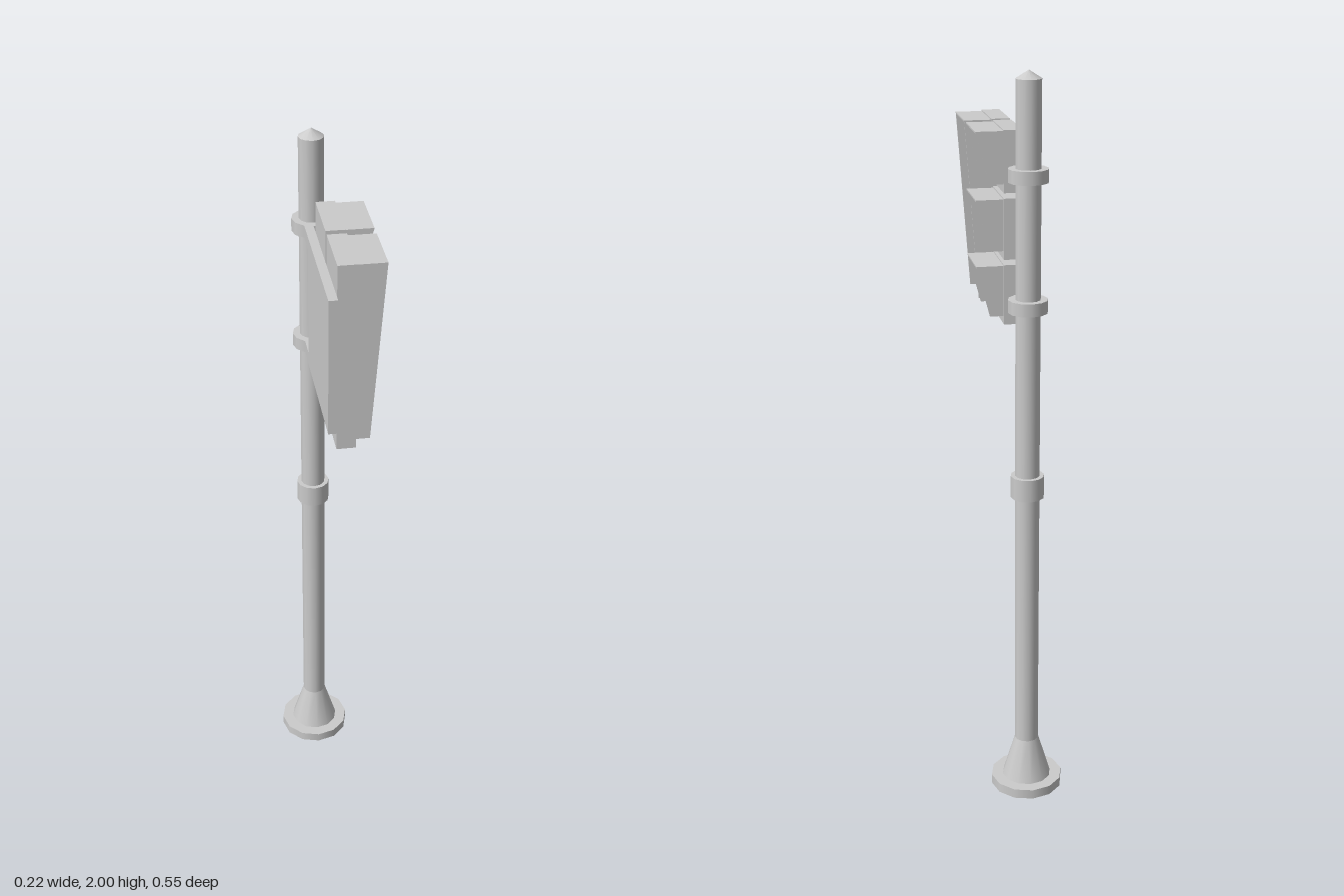
import * as THREE from 'three';

const SIDES = 12;
const POLE_X = -0.01, POLE_Z = -0.175;
const material = new THREE.MeshStandardMaterial({ color: 0xcccccc });
const openMaterial = new THREE.MeshStandardMaterial({ color: 0xcccccc, side: THREE.DoubleSide });

function addMesh(parent, name, geometry, mat = material) {
  const mesh = new THREE.Mesh(geometry, mat);
  mesh.name = name;
  parent.add(mesh);
  return mesh;
}

// Box given by its lower and upper limits on each axis
function box(parent, name, [x0, x1], [y0, y1], [z0, z1]) {
  const mesh = addMesh(parent, name, new THREE.BoxGeometry(x1 - x0, y1 - y0, z1 - z0));
  mesh.position.set((x0 + x1) / 2, (y0 + y1) / 2, (z0 + z1) / 2);
  return mesh;
}

// Upright round section centred on the pole axis
function round(parent, name, y0, y1, rBottom, rTop, open = false) {
  const geometry = new THREE.CylinderGeometry(rTop, rBottom, y1 - y0, SIDES, 1, open);
  const mesh = addMesh(parent, name, geometry, open ? openMaterial : material);
  mesh.position.set(POLE_X, (y0 + y1) / 2, POLE_Z);
  return mesh;
}

// Housing with one open-fronted hood: a roof and two tapering cheeks
function signalUnit(name, y0, y1, z0, z1) {
  const unit = new THREE.Group();
  unit.name = name;
  const back = 0.037, wall = 0.004, top = y1 - 0.003, bottom = y0 + 0.022;
  box(unit, 'housing', [-0.012, back], [y0, y1], [z0, z1]);

  const h0 = z0 + 0.005, h1 = z1 - 0.005;
  box(unit, 'hoodRoof', [back, 0.108], [top - wall, top], [h0, h1]);

  const cheek = new THREE.Shape([
    new THREE.Vector2(back, bottom),
    new THREE.Vector2(0.073, bottom),
    new THREE.Vector2(0.108, top),
    new THREE.Vector2(back, top),
  ]);
  for (const z of [h0, h1 - wall]) {
    const geometry = new THREE.ExtrudeGeometry(cheek, { depth: wall, bevelEnabled: false });
    addMesh(unit, 'hoodCheek', geometry).position.z = z;
  }
  return unit;
}

export function createModel() {
  const model = new THREE.Group();
  model.name = 'signalPost';

  // Hollow foot: rim, flat step and flared skirt
  round(model, 'footRim', 0, 0.027, 0.1, 0.1, true);
  const step = addMesh(model, 'footStep', new THREE.RingGeometry(0.068, 0.1, SIDES), openMaterial);
  step.rotation.x = -Math.PI / 2;
  step.position.set(POLE_X, 0.027, POLE_Z);
  round(model, 'footSkirt', 0.027, 0.145, 0.068, 0.033, true);

  // Pole, pointed cap and middle collar
  round(model, 'pole', 0.14, 1.979, 0.033, 0.033);
  round(model, 'poleCap', 1.979, 2, 0.033, 0);
  round(model, 'collar', 0.883, 0.944, 0.045, 0.045);

  // Clamps with arms reaching to the back plate
  for (const y of [1.393, 1.727]) {
    round(model, 'clamp', y, y + 0.034, 0.052, 0.052);
    box(model, 'clampArm', [-0.035, -0.012], [y, y + 0.034], [-0.14, -0.066]);
  }
  box(model, 'backPlate', [-0.035, -0.012], [1.393, 1.761], [-0.066, 0.272]);

  // One tall unit, and a stack of three short ones
  model.add(signalUnit('tallSignal', 1.337, 1.842, 0.094, 0.257));
  for (let i = 0; i < 3; i++) {
    const y = 1.337 + i * 0.173;
    model.add(signalUnit('shortSignal', y, y + 0.159, -0.089, 0.075));
  }
  return model;
}
